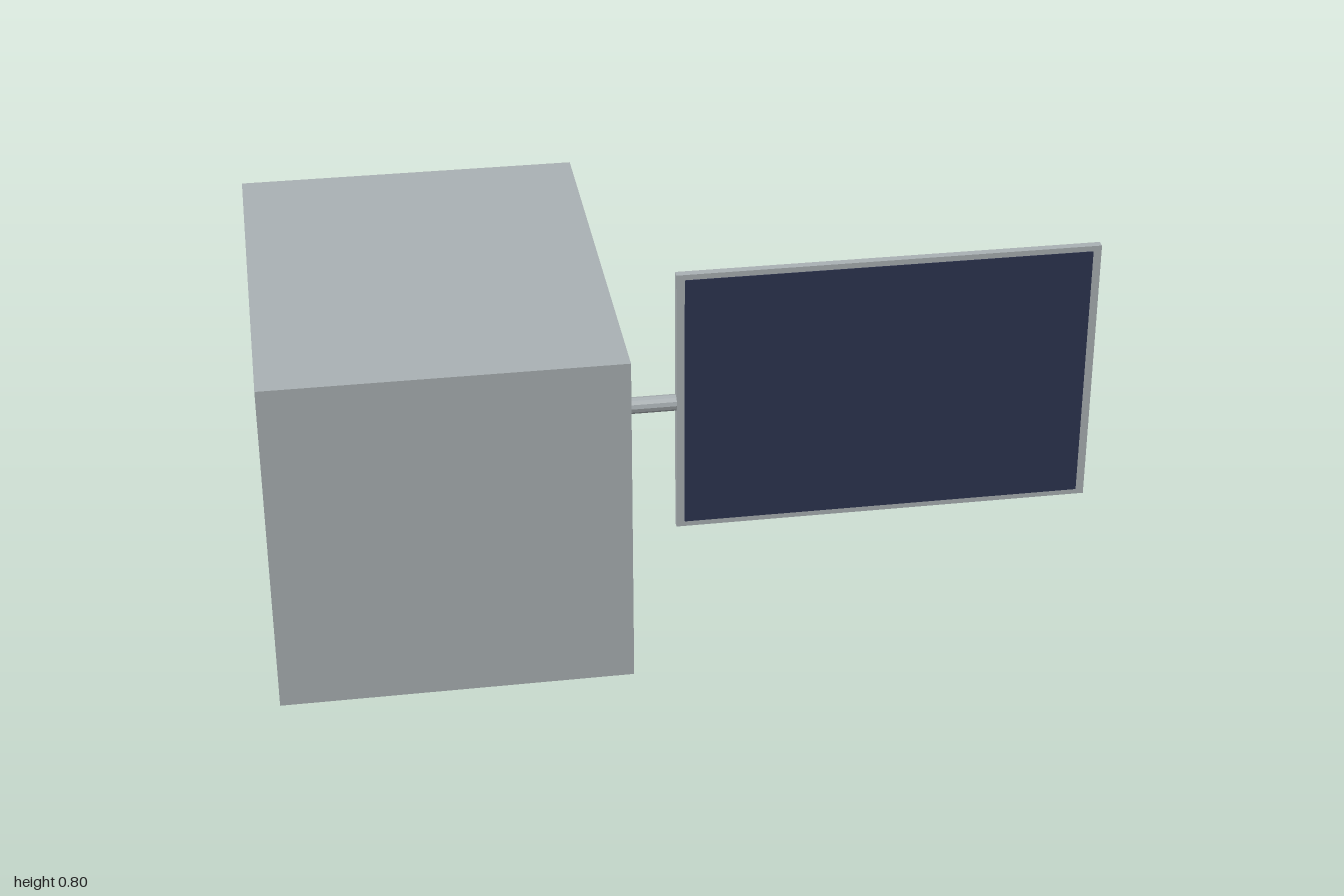
import * as THREE from 'three';

export function createModel() {
  const model = new THREE.Group();
  const grey = new THREE.MeshStandardMaterial({ color: 0xaab1b4 });
  grey.name = 'bodyGrey';
  grey.flatShading = true;
  const navy = new THREE.MeshStandardMaterial({ color: 0x2d3450 });
  navy.name = 'solarCellBlue';

  const add = (name, geometry, material, x, y, z) => {
    const mesh = new THREE.Mesh(geometry, material);
    mesh.name = name;
    mesh.position.set(x, y, z);
    model.add(mesh);
    return mesh;
  };

  // Main box-shaped body
  add('body', new THREE.BoxGeometry(0.8, 0.8, 1.066), grey, -0.6, 0.4, 0);

  // Faceted boom joining the body to the panel
  const boom = new THREE.CylinderGeometry(0.02, 0.02, 0.18, 12).rotateZ(Math.PI / 2);
  add('boom', boom, grey, -0.11, 0.4, 0);

  // Panel with a thin plate of cells on its front
  add('panelFrame', new THREE.BoxGeometry(1.02, 0.68, 0.02), grey, 0.49, 0.4, 0);
  add('solarCells', new THREE.BoxGeometry(0.98, 0.653, 0.002), navy, 0.49, 0.4, 0.0105);

  return model;
}
